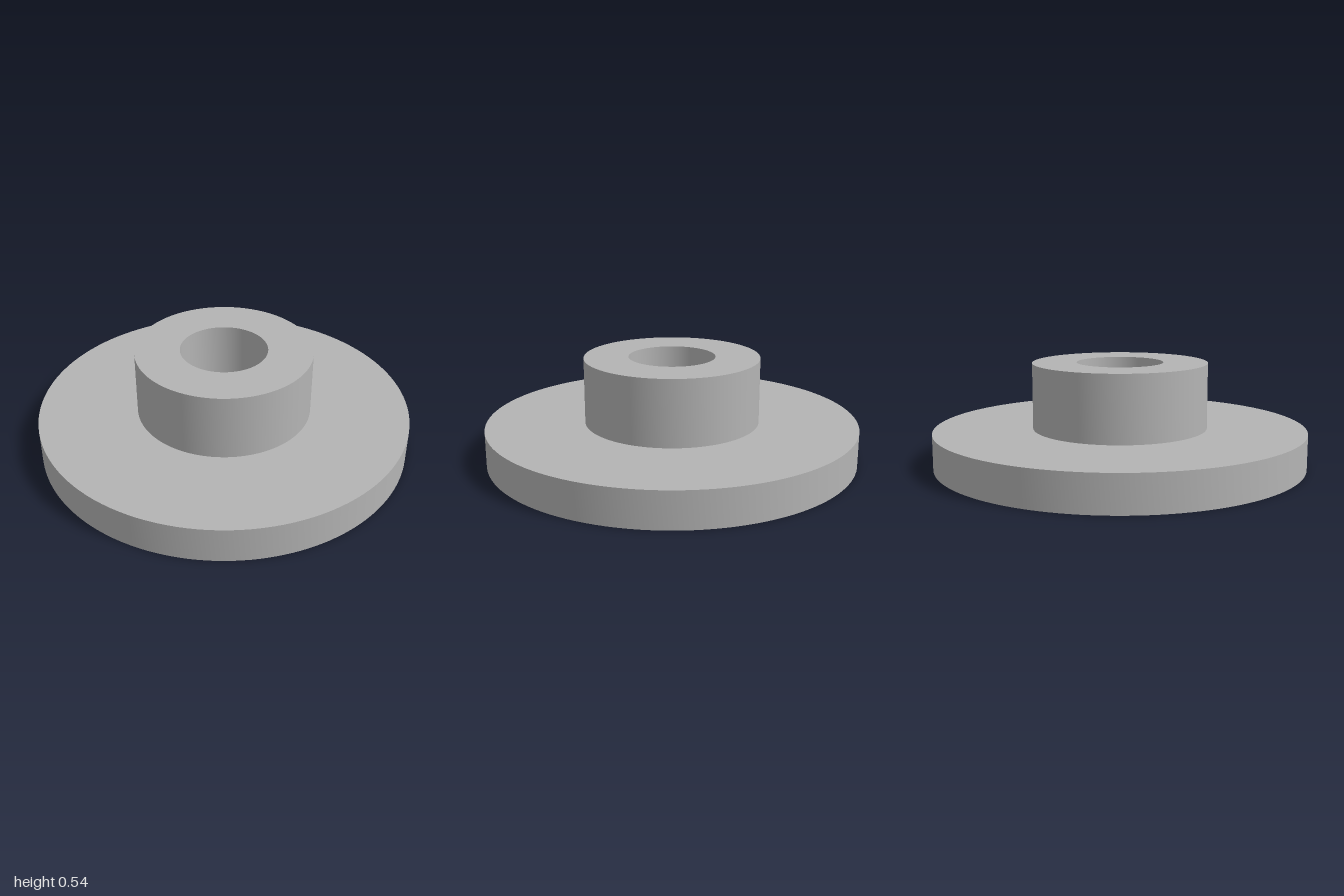
import * as THREE from 'three';
import { toCreasedNormals } from 'three/addons/utils/BufferGeometryUtils.js';

const SEGMENTS = 128;

export function createModel() {
  const model = new THREE.Group();
  model.name = 'flangedHub';

  const metal = new THREE.MeshStandardMaterial({ color: 0xb4b4b4 });
  metal.name = 'grey metal';

  // Revolve a [radius, height] profile, keeping its corners sharp
  const addTurned = (name, profile) => {
    const points = profile.map(([r, y]) => new THREE.Vector2(r, y));
    const geometry = toCreasedNormals(new THREE.LatheGeometry(points, SEGMENTS), Math.PI / 6);
    const mesh = new THREE.Mesh(geometry, metal);
    mesh.name = name;
    model.add(mesh);
  };

  const flangeRadius = 1, flangeTop = 0.19;
  const hubRadius = 0.47, hubTop = 0.543, boreRadius = 0.232;

  // Wide disc: underside, rim and upper face up to the hub
  addTurned('flange', [
    [0, 0], [flangeRadius, 0], [flangeRadius, flangeTop], [hubRadius, flangeTop],
  ]);

  // Raised collar: outer wall, top ring and blind bore with its floor
  addTurned('hub', [
    [hubRadius, flangeTop], [hubRadius, hubTop], [boreRadius, hubTop],
    [boreRadius, flangeTop], [0, flangeTop],
  ]);

  return model;
}
